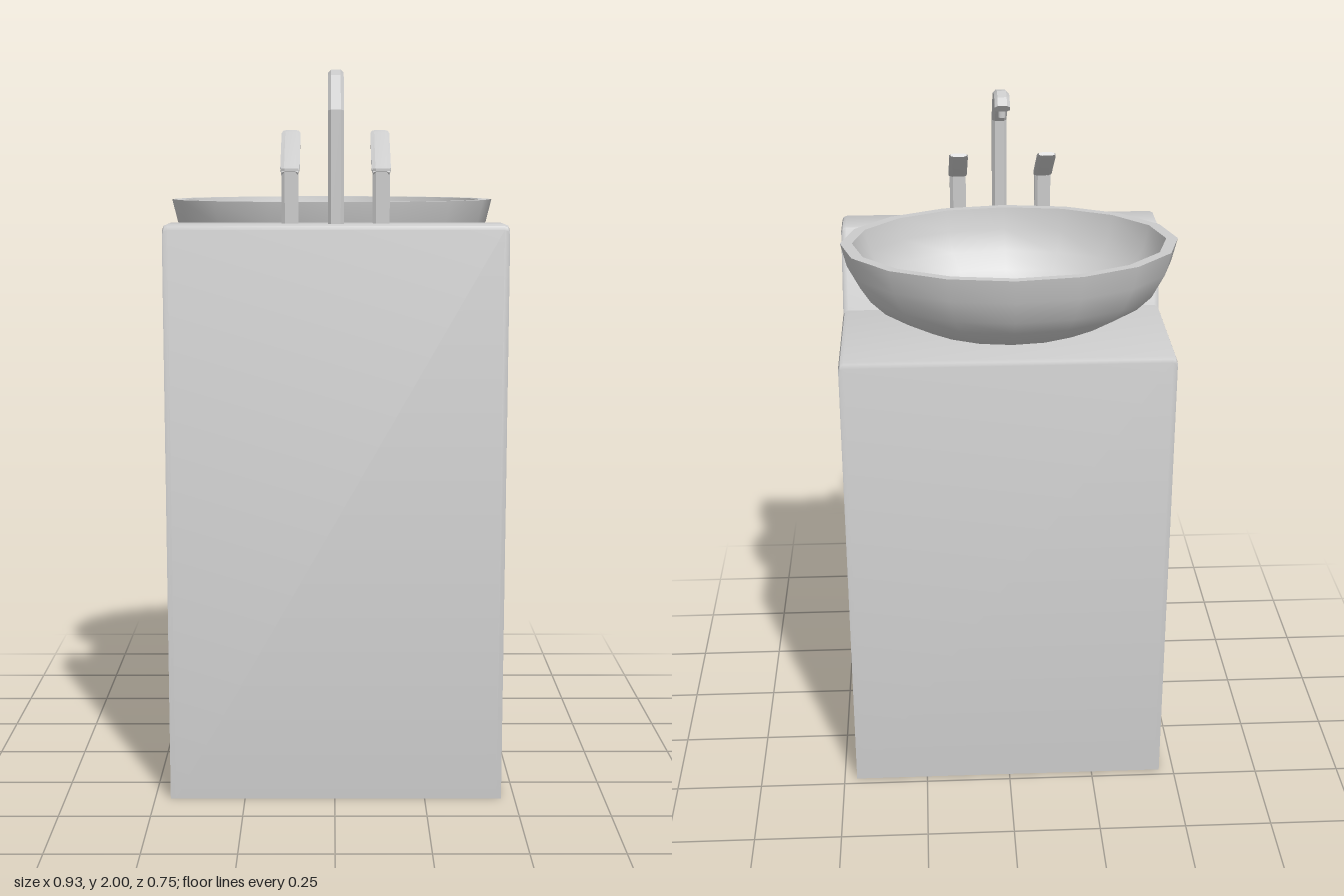
import * as THREE from 'three';
import { toCreasedNormals } from 'three/addons/utils/BufferGeometryUtils.js';

const material = new THREE.MeshStandardMaterial({ color: 0xcccccc });

function makeMesh(geometry, name, crease = 0.7) {
  const mesh = new THREE.Mesh(toCreasedNormals(geometry, crease), material);
  mesh.name = name;
  return mesh;
}

// Closed solid through rings of equal length; capFaces triangulates the end rings.
function loft(rings, capFaces) {
  const n = rings[0].length;
  const last = (rings.length - 1) * n;
  const caps = capFaces || Array.from({ length: n - 2 }, (_, i) => [0, i + 1, i + 2]);
  const pos = rings.flat();
  let index = [];
  for (let r = 0; r < rings.length - 1; r++) {
    for (let i = 0; i < n; i++) {
      const a = r * n + i, b = r * n + (i + 1) % n;
      index.push(a, b, b + n, a, b + n, a + n);
    }
  }
  // The end caps must wind opposite to the edges of the walls.
  const [p, q] = [caps[0][0], caps[0][1]];
  const forward = caps.some(f => f.some((v, k) => f[(k + 1) % 3] === (v + 1) % n)) || q === p + 1;
  for (const [a, b, c] of caps) {
    if (forward) index.push(a, c, b, last + a, last + b, last + c);
    else index.push(a, b, c, last + a, last + c, last + b);
  }
  // Flip everything if the enclosed volume comes out negative.
  let volume = 0;
  for (let i = 0; i < index.length; i += 3) {
    const [a, b, c] = [0, 1, 2].map(k => pos[index[i + k]]);
    volume += a.dot(b.clone().cross(c));
  }
  if (volume < 0) index = index.reverse();
  const geometry = new THREE.BufferGeometry().setFromPoints(pos);
  geometry.setIndex(index);
  return geometry;
}

// Chamfered bar along a path in the z/y plane. Each point: [z, y, halfWidth, halfThickness].
function sweep(path, x) {
  const section = [[1, 0.5], [0.6, 1], [-0.6, 1], [-1, 0.5], [-1, -0.5], [-0.6, -1], [0.6, -1], [1, -0.5]];
  const rings = path.map(([z, y, w, t], i) => {
    const a = path[Math.max(i - 1, 0)], b = path[Math.min(i + 1, path.length - 1)];
    const dir = new THREE.Vector2(b[0] - a[0], b[1] - a[1]).normalize();
    return section.map(([u, v]) => new THREE.Vector3(x + u * w, y + v * t * dir.x, z - v * t * dir.y));
  });
  return loft(rings);
}

function createCabinet() {
  // Side profile as [z, y], with a raised ledge and a sloping splash face
  const profile = [
    [-0.226, 0], [0.373, 0], [0.373, 1.575], [0.369, 1.585], [0.359, 1.59],
    [0.264, 1.59], [0.257, 1.587], [0.252, 1.578], [0.175, 1.363],
    [-0.212, 1.363], [-0.222, 1.359], [-0.226, 1.349],
  ];
  const faces = THREE.ShapeUtils.triangulateShape(profile.map(p => new THREE.Vector2(...p)), []);
  // Upper edges are rounded at both ends
  const steps = [[-0.457, 0.014], [-0.453, 0.004], [-0.443, 0], [0.449, 0], [0.459, 0.004], [0.463, 0.014]];
  const rings = steps.map(([x, drop]) =>
    profile.map(([z, y]) => new THREE.Vector3(x, y > 0 ? y - drop : 0, z)));
  return makeMesh(loft(rings, faces), 'cabinet', 0.6);
}

function createBasin() {
  // Outer wall upwards, over the rim, inner wall downwards
  const profile = [
    [0, 1.366], [0.3, 1.38], [0.5, 1.405], [0.66, 1.437], [0.8, 1.475], [0.89, 1.515], [0.965, 1.58], [1, 1.645],
    [0.93, 1.645], [0.9, 1.585], [0.83, 1.525], [0.73, 1.48], [0.6, 1.44], [0.44, 1.412], [0.25, 1.395], [0, 1.388],
  ].map(p => new THREE.Vector2(...p));
  const geometry = new THREE.LatheGeometry(profile, 16);
  geometry.scale(0.46, 1, 0.32);
  geometry.translate(-0.008, 0, -0.054);
  return makeMesh(geometry, 'basin');
}

function createDrain() {
  const profile = [[0.048, 1.38], [0.048, 1.396], [0.042, 1.402], [0.035, 1.4], [0.034, 1.395], [0, 1.395]]
    .map(p => new THREE.Vector2(...p));
  const drain = makeMesh(new THREE.LatheGeometry(profile, 24), 'drain');
  drain.position.set(-0.008, 0, -0.027);
  return drain;
}

function createFaucet() {
  const faucet = new THREE.Group();
  faucet.name = 'faucet';
  const x = 0.003, w = 0.021;
  faucet.add(makeMesh(sweep([
    [0.322, 1.58, w, 0.02], [0.322, 1.885, w, 0.02], [0.255, 1.965, w, 0.019],
    [0.172, 1.984, w, 0.016], [0.145, 1.977, w, 0.015], [0.125, 1.962, w, 0.012],
  ], x), 'spout', 0.4));
  const nozzle = makeMesh(new THREE.CylinderGeometry(0.011, 0.011, 0.045, 10), 'nozzle');
  nozzle.position.set(x, 1.955, 0.152);
  faucet.add(nozzle);
  return faucet;
}

function createHandle(x, name) {
  const handle = new THREE.Group();
  handle.name = name;
  handle.add(
    makeMesh(sweep([[0.292, 1.58, 0.023, 0.014], [0.292, 1.735, 0.023, 0.014]], x), 'handleStem', 0.4),
    makeMesh(sweep([
      [0.303, 1.722, 0.022, 0.006], [0.285, 1.734, 0.026, 0.009],
      [0.14, 1.826, 0.026, 0.008], [0.126, 1.834, 0.022, 0.005],
    ], x), 'handleLever', 0.4),
  );
  return handle;
}

export function createModel() {
  const model = new THREE.Group();
  model.name = 'washbasin';
  model.add(
    createCabinet(), createBasin(), createDrain(), createFaucet(),
    createHandle(0.124, 'leftHandle'), createHandle(-0.12, 'rightHandle'),
  );
  return model;
}
